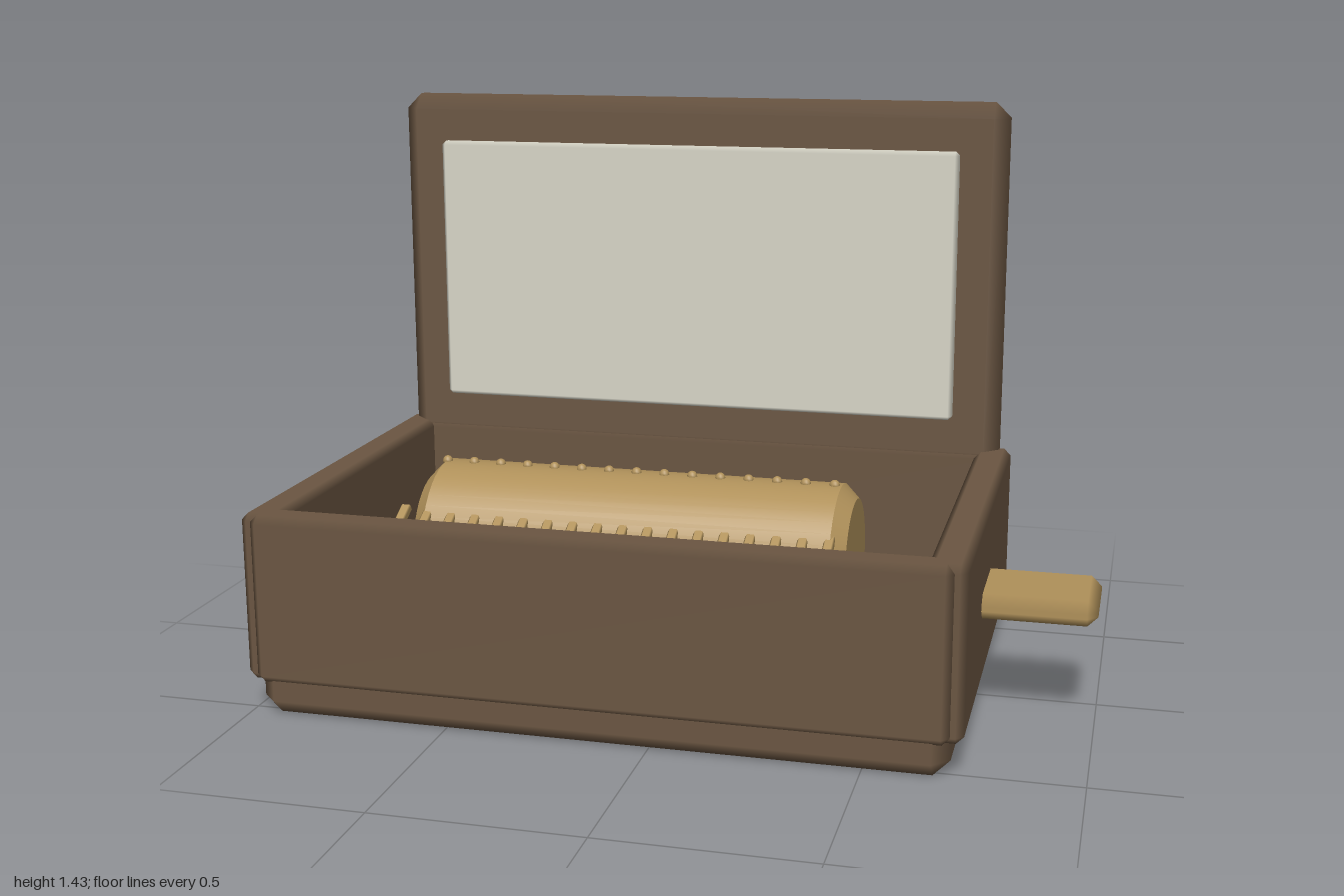
import * as THREE from 'three';
import { ConvexGeometry } from 'three/addons/geometries/ConvexGeometry.js';
import { toCreasedNormals } from 'three/addons/utils/BufferGeometryUtils.js';

const wood = new THREE.MeshStandardMaterial({ color: 0x6b5642 });
const brass = new THREE.MeshStandardMaterial({ color: 0xb0915a });
const glass = new THREE.MeshStandardMaterial({ color: 0xd8d6c8 });

// Box with chamfered edges; normals follow the main faces so the chamfers shade softly
function chamferBox(w, h, d, c) {
  const half = [w / 2, h / 2, d / 2];
  const points = [];
  for (const sx of [-1, 1]) for (const sy of [-1, 1]) for (const sz of [-1, 1]) {
    const sign = [sx, sy, sz];
    for (let axis = 0; axis < 3; axis++) {
      points.push(new THREE.Vector3(...half.map((v, i) => sign[i] * (i === axis ? v : v - c))));
    }
  }
  const geometry = new ConvexGeometry(points);
  const pos = geometry.attributes.position;
  const normal = geometry.attributes.normal;
  for (let i = 0; i < pos.count; i++) {
    const p = [pos.getX(i), pos.getY(i), pos.getZ(i)];
    normal.setXYZ(i, ...p.map((v, k) => (Math.abs(v) > half[k] - c / 2 ? Math.sign(v) : 0)));
  }
  return geometry;
}

// Chamfered block given by its limits on each axis
function block(name, [x0, x1], [y0, y1], [z0, z1], chamfer, material) {
  const mesh = new THREE.Mesh(chamferBox(x1 - x0, y1 - y0, z1 - z0, chamfer), material);
  mesh.position.set((x0 + x1) / 2, (y0 + y1) / 2, (z0 + z1) / 2);
  mesh.name = name;
  return mesh;
}

export function createModel() {
  const model = new THREE.Group();
  model.name = 'musicBox';

  // Case
  const wallY = [0.088, 0.505];
  model.add(
    block('base', [-0.97, 0.7], [0, 0.13], [-0.54, 0.555], 0.04, wood),
    block('frontWall', [-0.97, 0.7], wallY, [0.475, 0.568], 0.018, wood),
    block('backWall', [-0.97, 0.7], wallY, [-0.555, -0.462], 0.018, wood),
    block('rightWall', [-1, -0.907], wallY, [-0.538, 0.55], 0.018, wood),
    block('leftWall', [0.637, 0.73], wallY, [-0.538, 0.55], 0.018, wood),
  );

  // Open lid with its inner mirror
  model.add(
    block('lid', [-0.97, 0.7], [0.46, 1.43], [-0.568, -0.465], 0.04, wood),
    block('mirror', [-0.848, 0.576], [0.593, 1.305], [-0.474, -0.435], 0.01, glass),
  );

  // Crank plate on the side
  model.add(block('crank', [0.66, 1], [0.266, 0.328], [-0.035, 0.213], 0.025, brass));

  // Drum with chamfered ends, lying along x
  const radius = 0.188, halfLength = 0.545, c = 0.035;
  const profile = [
    [0, -halfLength], [radius - c, -halfLength], [radius, c - halfLength],
    [radius, halfLength - c], [radius - c, halfLength], [0, halfLength],
  ].map(([x, y]) => new THREE.Vector2(x, y));
  const drum = new THREE.Mesh(toCreasedNormals(new THREE.LatheGeometry(profile, 40), 0.6), brass);
  drum.name = 'drum';
  drum.rotation.z = Math.PI / 2;
  drum.position.set(-0.135, 0.357, 0.1);
  model.add(drum);

  // Row of pins along the top of the drum
  const pins = new THREE.Group();
  pins.name = 'pins';
  const pinGeometry = new THREE.SphereGeometry(0.013, 10, 8);
  for (let i = 0; i < 15; i++) {
    const pin = new THREE.Mesh(pinGeometry, brass);
    pin.name = 'pin';
    pin.position.set(-0.643 + i * 0.0714, 0.545, 0.1);
    pins.add(pin);
  }
  model.add(pins);

  // Comb teeth sloping from the drum down to the front wall
  const comb = new THREE.Group();
  comb.name = 'comb';
  const toothGeometry = chamferBox(0.025, 0.02, 0.3, 0.004);
  for (let i = 0; i < 18; i++) {
    const tooth = new THREE.Mesh(toothGeometry, brass);
    tooth.name = 'tooth';
    tooth.position.set(-0.702 + i * 0.0632, 0.385, 0.367);
    tooth.rotation.x = 0.5;
    comb.add(tooth);
  }
  model.add(comb);

  return model;
}
